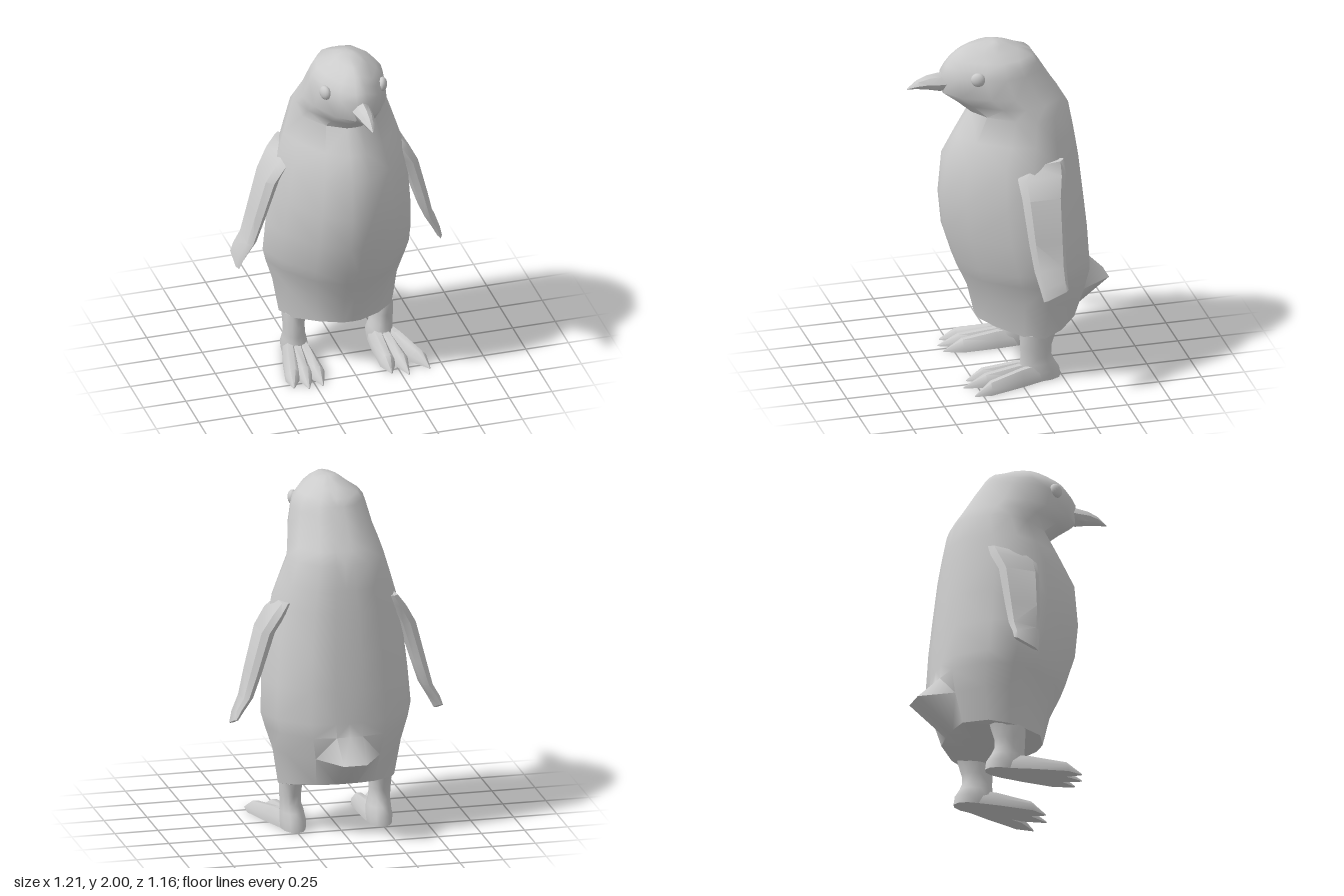
import * as THREE from 'three';
import { toCreasedNormals } from 'three/addons/utils/BufferGeometryUtils.js';

const material = new THREE.MeshStandardMaterial({ color: 0xcccccc });

// Skin closed rings of [x, y, z] points; each ring runs counter-clockwise about the direction of travel.
// side = -1 mirrors the shape across x. Quads split along their shorter diagonal.
function loft(name, rings, side = 1, crease = 0.6) {
  const n = rings[0].length;
  const pos = [];
  const tri = (...pts) => {
    if (side < 0) pts.reverse();
    for (const [x, y, z] of pts) pos.push(x * side, y, z);
  };
  const dist = (p, q) => Math.hypot(p[0] - q[0], p[1] - q[1], p[2] - q[2]);
  const quad = (a, b, c, d) => {
    if (dist(a, c) < dist(b, d)) {
      tri(a, b, c);
      tri(a, c, d);
    } else {
      tri(a, b, d);
      tri(b, c, d);
    }
  };
  const centre = ring => [0, 1, 2].map(k => ring.reduce((sum, p) => sum + p[k], 0) / n);
  const first = rings[0], last = rings[rings.length - 1];
  for (let j = 0; j < n; j++) {
    const k = (j + 1) % n;
    for (let i = 0; i + 1 < rings.length; i++) quad(rings[i][j], rings[i][k], rings[i + 1][k], rings[i + 1][j]);
    tri(centre(first), first[k], first[j]);
    tri(centre(last), last[j], last[k]);
  }
  const geometry = new THREE.BufferGeometry();
  geometry.setAttribute('position', new THREE.Float32BufferAttribute(pos, 3));
  const mesh = new THREE.Mesh(toCreasedNormals(geometry, crease), material);
  mesh.name = name;
  return mesh;
}

// Horizontal body slice: fractions of half width, and of depth from front to back
const SLICE = [[0, 0], [0.15, 0.005], [0.52, 0.12], [0.87, 0.37], [1, 0.57], [0.87, 0.77], [0.5, 0.97], [0.18, 1], [0, 1]];

function bodyRing([y, front, back, width, tail = 0, sag = 0]) {
  const half = SLICE.map(([u, t], i) => [
    u * width,
    y - sag * Math.sin(Math.PI * t) ** 2,
    front + (back - front) * t - (i > 6 ? tail : 0),
  ]);
  const other = half.slice(1, -1).reverse().map(([x, py, z]) => [-x, py, z]);
  return [...half, ...other];
}

function makeBody() {
  // y, front z, back z, half width, tail length, sag of the lower rim
  const slices = [
    [0.267, 0.0, -0.22, 0.315],
    [0.31, 0.18, -0.365, 0.337, 0, 0.042],
    [0.48, 0.22, -0.42, 0.372, 0.16],
    [0.61, 0.28, -0.45, 0.414],
    [0.69, 0.31, -0.445, 0.435],
    [0.88, 0.37, -0.435, 0.425],
    [1.08, 0.39, -0.415, 0.405],
    [1.32, 0.37, -0.39, 0.365],
    [1.45, 0.30, -0.37, 0.325],
    [1.59, 0.22, -0.345, 0.28],
    [1.66, 0.30, -0.305, 0.262],
    [1.72, 0.38, -0.265, 0.245],
    [1.835, 0.385, -0.195, 0.217],
    [1.88, 0.36, -0.165, 0.203],
    [1.92, 0.33, -0.14, 0.172],
    [1.955, 0.29, -0.06, 0.115],
    [1.985, 0.23, 0.0, 0.075],
    [2.0, 0.1, 0.05, 0.035],
  ];
  return loft('body', slices.map(bodyRing), 1, 0.95);
}

function makeBeak() {
  // z, half width, bottom, top
  const rings = [
    [0.34, 0.056, 1.72, 1.842],
    [0.39, 0.052, 1.72, 1.837],
    [0.46, 0.043, 1.737, 1.828],
    [0.52, 0.03, 1.747, 1.803],
    [0.58, 0.003, 1.753, 1.758],
  ].map(([z, w, y0, y1]) => {
    const at = (u, t) => [u * w, y0 + (y1 - y0) * t, z];
    return [at(0, 0), at(0.7, 0.2), at(1, 0.5), at(0.6, 0.85), at(0, 1), at(-0.6, 0.85), at(-1, 0.5), at(-0.7, 0.2)];
  });
  return loft('beak', rings);
}

function makeWing(side) {
  // front y, back y, front z, back z, inner x, outer x, from tip to shoulder
  const rings = [
    [0.62, 0.68, -0.055, -0.2, 0.58, 0.607],
    [0.69, 0.73, -0.04, -0.2, 0.545, 0.59],
    [0.78, 0.8, -0.02, -0.205, 0.495, 0.548],
    [0.94, 0.94, 0.0, -0.212, 0.445, 0.51],
    [1.18, 1.18, 0.02, -0.222, 0.37, 0.447],
    [1.28, 1.29, 0.03, -0.25, 0.31, 0.386],
    [1.34, 1.36, -0.02, -0.25, 0.28, 0.335],
  ].map(([yf, yb, zf, zb, xi, xo]) => {
    const at = (u, t) => [xi + (xo - xi) * u, yf + (yb - yf) * t, zf + (zb - zf) * t];
    return [at(0.5, 0), at(1, 0.15), at(1, 0.88), at(0.5, 1), at(0, 0.88), at(0, 0.15)];
  });
  return loft('wing', rings, side, 0.75);
}

function makeLeg(side) {
  // y, centre x, centre z, radius x, radius z
  const rings = [
    [0, 0.25, -0.12, 0.07, 0.125],
    [0.05, 0.25, -0.12, 0.075, 0.118],
    [0.1, 0.252, -0.108, 0.068, 0.1],
    [0.14, 0.257, -0.1, 0.06, 0.09],
    [0.2, 0.26, -0.1, 0.06, 0.092],
    [0.28, 0.258, -0.112, 0.064, 0.108],
  ].map(([y, cx, cz, rx, rz]) => Array.from({ length: 12 }, (_, i) => {
    const a = i / 12 * Math.PI * 2;
    return [cx + rx * Math.sin(a), y, cz + rz * Math.cos(a)];
  }));
  return loft('leg', rings, side, 0.9);
}

// Ridged toe running from the heel to a pointed tip
function makeToe(side, offset, tipX, tipZ) {
  const startX = 0.25 + offset * 0.03;
  const rings = [[-0.12, 0.04, 0.1], [0, 0.046, 0.096], [0.2, 0.044, 0.07], [tipZ, 0.004, 0.006]].map(([z, w, h]) => {
    const cx = startX + (tipX - startX) * (z + 0.12) / (tipZ + 0.12);
    const at = (u, t) => [cx + u * w, t * h, z];
    return [at(-1, 0), at(1, 0), at(0.95, 0.5), at(0.35, 0.95), at(-0.35, 0.95), at(-0.95, 0.5)];
  });
  return loft('toe', rings, side, 0.9);
}

export function createModel() {
  const model = new THREE.Group();
  model.name = 'penguin';
  model.add(makeBody(), makeBeak());

  // Tip x and z of each toe, inner to outer; the left foot is splayed wider
  const toeTips = {
    '1': [[0.2, 0.29], [0.29, 0.33], [0.42, 0.3]],
    '-1': [[0.21, 0.31], [0.295, 0.32], [0.375, 0.29]],
  };
  for (const side of [1, -1]) {
    const label = side > 0 ? 'left' : 'right';

    const eye = new THREE.Mesh(new THREE.SphereGeometry(0.041, 16, 12), material);
    eye.name = label + 'Eye';
    eye.scale.x = 0.65;
    eye.position.set(side * 0.168, 1.84, 0.212);
    eye.rotation.y = -side * 0.35;

    const wing = makeWing(side);
    wing.name = label + 'Wing';

    const foot = new THREE.Group();
    foot.name = label + 'LegAndFoot';
    foot.add(makeLeg(side));
    toeTips[side].forEach(([x, z], i) => foot.add(makeToe(side, i - 1, x, z)));

    model.add(eye, wing, foot);
  }
  return model;
}
